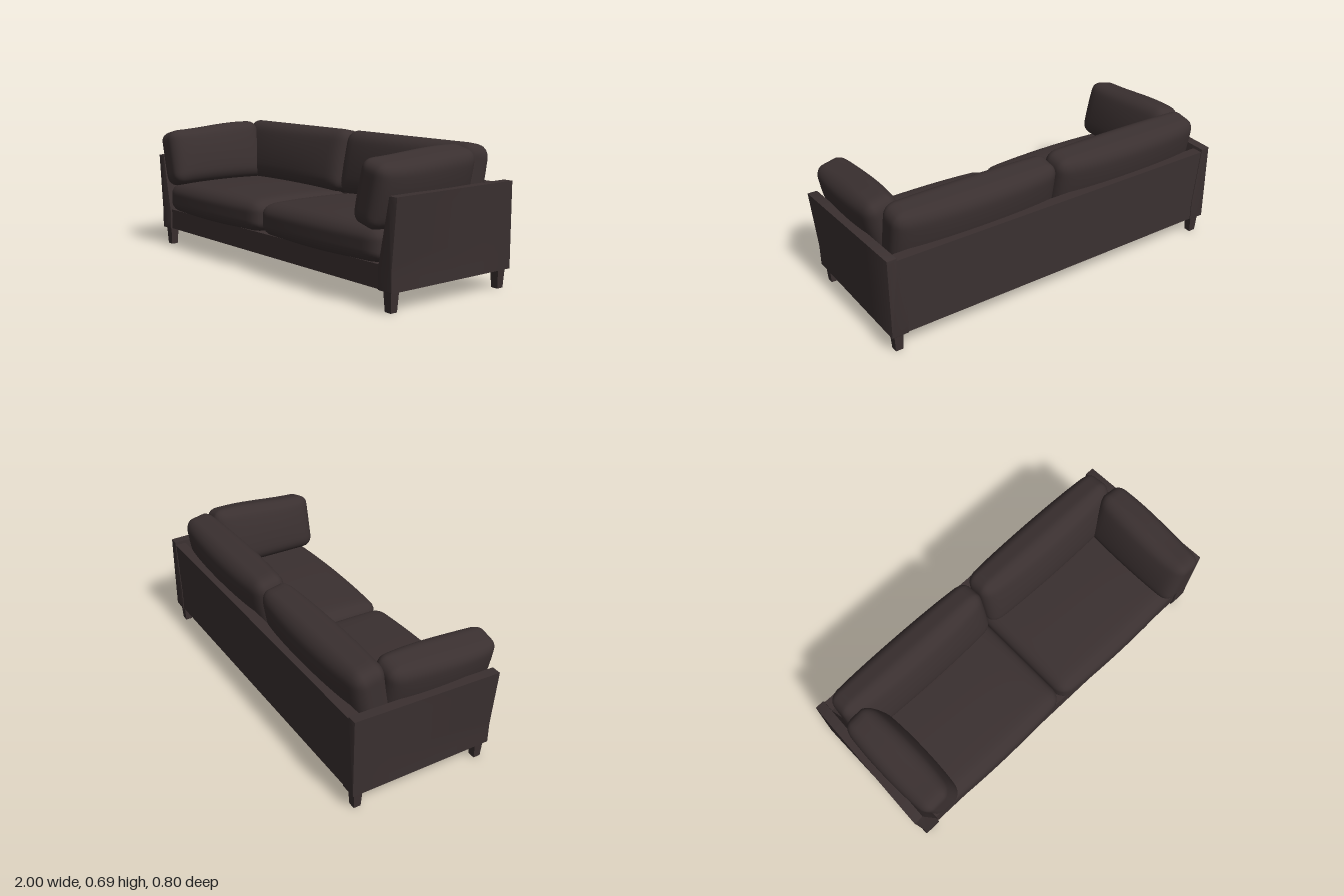
import * as THREE from 'three';
import { mergeVertices, toCreasedNormals } from 'three/addons/utils/BufferGeometryUtils.js';

const upholstery = new THREE.MeshStandardMaterial({ color: 0x3a3030 });
upholstery.name = 'dark upholstery';

function part(name, geometry, x = 0, y = 0, z = 0) {
  const mesh = new THREE.Mesh(geometry, upholstery);
  mesh.name = name;
  mesh.position.set(x, y, z);
  return mesh;
}

function reshape(geometry, rule) {
  const pos = geometry.attributes.position, p = new THREE.Vector3();
  for (let i = 0; i < pos.count; i++) {
    rule(p.fromBufferAttribute(pos, i));
    pos.setXYZ(i, p.x, p.y, p.z);
  }
  return geometry;
}

// Soft cushion: a rounded box that thins towards its rim along one axis
function cushionGeometry(size, radius, thin, pinch, extra = () => {}) {
  let g = new THREE.BoxGeometry(2, 2, 2, 24, 24, 24);
  g.deleteAttribute('uv');
  g.deleteAttribute('normal');
  g = mergeVertices(g);
  const inner = new THREE.Vector3();
  reshape(g, p => {
    let rim = 1;
    for (const a of ['x', 'y', 'z']) {
      const half = size[a] / 2;
      p[a] = Math.sin(p[a] * Math.PI / 2) * half;
      inner[a] = THREE.MathUtils.clamp(p[a], radius - half, half - radius);
    }
    p.sub(inner).normalize().multiplyScalar(radius).add(inner);
    const n = { x: 2 * p.x / size.x, y: 2 * p.y / size.y, z: 2 * p.z / size.z };
    for (const a of ['x', 'y', 'z']) if (a !== thin) rim *= 1 - n[a] ** 2;
    p[thin] *= 1 - pinch * (1 - Math.sqrt(Math.max(rim, 0)));
    extra(p, n);
  });
  g.computeVertexNormals();
  return g;
}

// Side panel: upright at the back, flaring outwards at the front
function armGeometry(side) {
  const s = new THREE.Shape();
  s.moveTo(0.885, 0.095);
  s.lineTo(0.972, 0.095);
  s.lineTo(0.972, 0.515);
  s.lineTo(0.92, 0.515);
  s.lineTo(0.885, 0.25);
  s.closePath();
  // Extra levels let the flare bend smoothly
  const points = [];
  for (let i = 0; i <= 8; i++) points.push(new THREE.Vector2(0.972, 0.095 + 0.42 * i / 8));
  for (let i = 8; i >= 0; i--) {
    const y = 0.095 + 0.42 * i / 8;
    points.push(new THREE.Vector2(0.885 + 0.037 * Math.max(0, (y - 0.2) / 0.315), y));
  }
  const g = new THREE.ExtrudeGeometry(new THREE.Shape(points), { depth: 0.757, bevelEnabled: true,
    bevelSize: 0.004, bevelThickness: 0.004, bevelOffset: -0.004, bevelSegments: 2, steps: 4 });
  reshape(g, p => {
    p.z -= 0.396;
    const up = Math.max(0, (p.y - 0.2) / 0.315);
    p.x += 0.028 * up * (p.z + 0.4) / 0.765;
  });
  if (side < 0) {
    // Mirror and flip the winding
    g.scale(-1, 1, 1);
    for (const attribute of Object.values(g.attributes)) {
      const { array, itemSize: k } = attribute;
      for (let i = 0; i < array.length; i += 3 * k)
        for (let j = 0; j < k; j++) {
          const t = array[i + k + j];
          array[i + k + j] = array[i + 2 * k + j];
          array[i + 2 * k + j] = t;
        }
    }
  }
  return toCreasedNormals(g, 0.5);
}

export function createModel() {
  const sofa = new THREE.Group();
  sofa.name = 'sofa';

  // Frame
  sofa.add(part('base', new THREE.BoxGeometry(1.79, 0.11, 0.745), 0, 0.152, -0.0175));
  sofa.add(part('backPanel', new THREE.BoxGeometry(1.86, 0.4, 0.058), 0, 0.299, -0.367));

  // Tapered square leg
  const leg = reshape(new THREE.BoxGeometry(0.05, 0.1, 0.048), p => {
    if (p.y < 0) { p.x *= 0.76; p.z *= 0.76; }
  });
  leg.computeVertexNormals();

  const seat = cushionGeometry({ x: 0.888, y: 0.21, z: 0.63 }, 0.07, 'y', 0.28, (p, n) => {
    if (n.z > 0) p.z += 0.018 * n.z * (1 - n.x ** 2);
  });
  const back = cushionGeometry({ x: 0.897, y: 0.34, z: 0.225 }, 0.065, 'z', 0.36);
  const side = cushionGeometry({ x: 0.215, y: 0.335, z: 0.595 }, 0.06, 'x', 0.34, (p, n) => {
    // Top edge dips towards the front
    if (n.y > 0) p.y -= 0.028 * n.y * THREE.MathUtils.smoothstep(n.z, -0.6, 0.9);
  });

  for (const s of [-1, 1]) {
    const label = s > 0 ? 'left' : 'right';
    sofa.add(part(label + 'Arm', armGeometry(s)));
    sofa.add(part(label + 'FrontLeg', leg, s * 0.93, 0.05, 0.327));
    sofa.add(part(label + 'BackLeg', leg, s * 0.93, 0.05, -0.36));

    sofa.add(part(label + 'SeatCushion', seat, s * 0.447 - 0.008, 0.28, 0.055));

    const backCushion = part(label + 'BackCushion', back, s * 0.451 - 0.01, 0.52, -0.248);
    backCushion.rotation.x = -0.2;
    sofa.add(backCushion);

    const sideCushion = part(label + 'SideCushion', side, s * 0.838, 0.522, 0.1);
    sideCushion.rotation.z = -s * 0.24;
    sofa.add(sideCushion);
  }
  return sofa;
}
